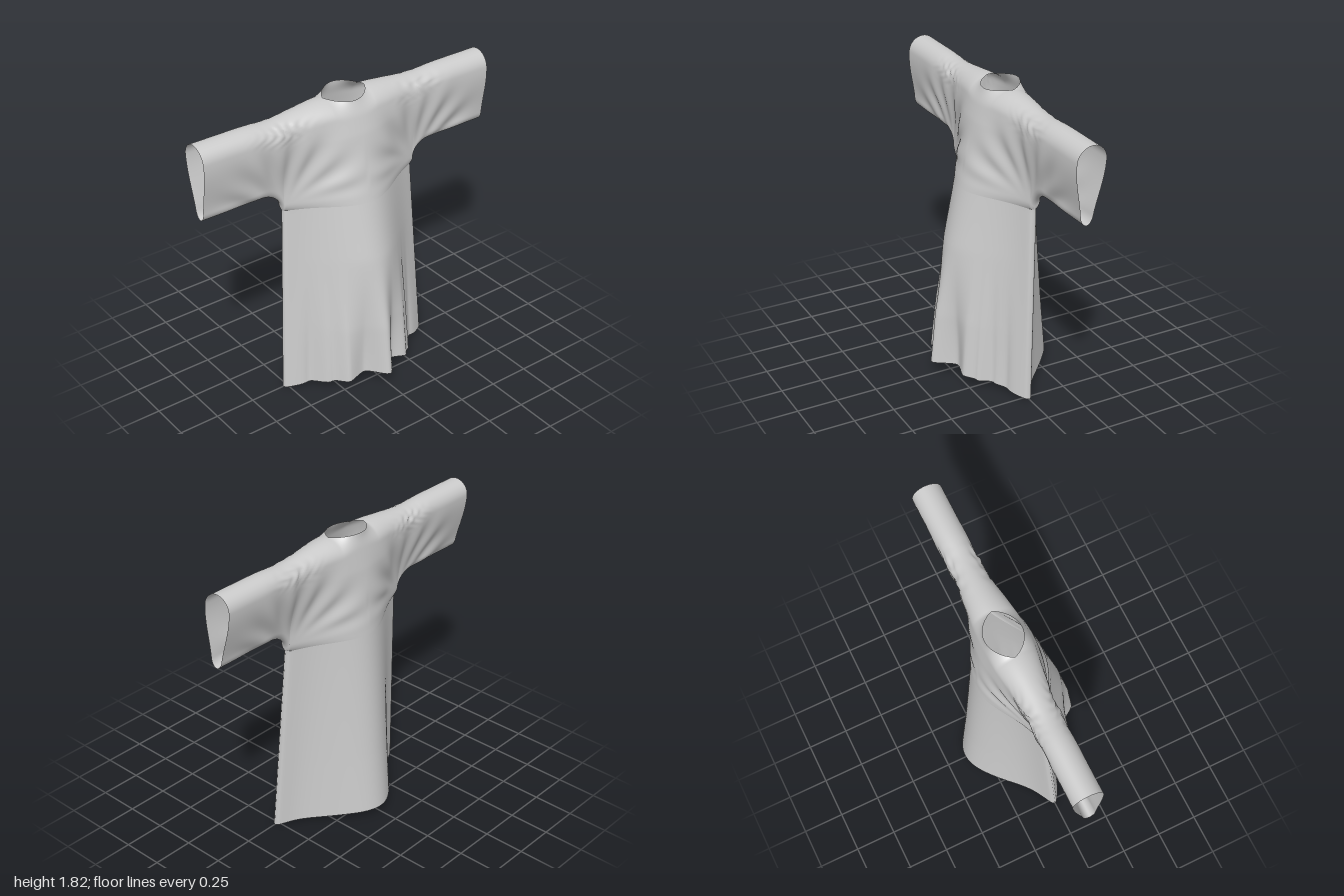
import * as THREE from 'three';
import { mergeGeometries, mergeVertices } from 'three/addons/utils/BufferGeometryUtils.js';

const { lerp, smoothstep, clamp } = THREE.MathUtils;
const ARM = 1.2;          // height where the underarm curve starts
const SIDE = 0.465;       // half width of the body at the underarm
const NECK = SIDE * 15 / 48;

// Interpolates a short list of [position, value] pairs
function table(points, p, ease = false) {
  if (p <= points[0][0]) return points[0][1];
  for (let i = 1; i < points.length; i++) {
    const [a, va] = points[i - 1], [b, vb] = points[i];
    if (p <= b) {
      const t = (p - a) / (b - a);
      return lerp(va, vb, ease ? t * t * (3 - 2 * t) : t);
    }
  }
  return points[points.length - 1][1];
}
// Quarter-round closing of an edge: 0 on the edge, 1 from distance r inward
const round = (d, r) => Math.sqrt(Math.max(0, 1 - (1 - clamp(d / r, 0, 1)) ** 2));

// Depth of the cloth along the centre line, front and back
const FRONT = [[0, 0.39], [0.4, 0.345], [0.85, 0.262], [1.2, 0.18], [1.6, 0.09], [1.8, 0.03]];
const BACK = [[0, -0.385], [0.4, -0.345], [0.8, -0.31], [1.2, -0.275], [1.6, -0.235], [1.82, -0.2]];
const MIDDLE = [[0, 0], [1.33, -0.06], [1.8, -0.09]];
// Hem folds across the front
const FOLDS = [[-0.53, 0], [-0.4, 0.1], [-0.3, 0.42], [-0.22, 0.68], [-0.12, 0.64], [0, 1],
  [0.11, 0.62], [0.2, 0.67], [0.27, 0.5], [0.32, 0.25], [0.4, 0.1], [0.53, 0]];

const halfWidth = y => lerp(0.53, SIDE, clamp(y / ARM, 0, 1));
const neckCurve = x => Math.max(0, 1 - (x / NECK) ** 2);

function topEdge(x, side) {
  const a = Math.abs(x);
  return 1.78 + 0.02 * (1 - smoothstep(a, 0.15, 0.45)) - 0.008 * Math.exp(-(((a - 0.52) / 0.1) ** 2))
    - side * 0.015 * neckCurve(x);
}
function bottomEdge(x) {
  const t = clamp((Math.abs(x) - SIDE) / 0.14, 0, 1);
  return 1.325 - 0.125 * (1 - Math.sqrt(1 - (1 - t) ** 2));
}
function hem(u, side) {
  return (side > 0 ? 0.087 : 0.04) * Math.cos(u * Math.PI / 2) ** 1.4;
}

// Folds that fan out from the underarm, and small crumples on the shoulder
function wrinkles(x, y, side) {
  const a = Math.abs(x), dx = a - 0.47, dy = y - 1.22;
  const r = Math.hypot(dx, dy), angle = Math.atan2(dx, dy);
  const fan = 0.007 * Math.sin(angle * 15 + side + Math.sign(x) * 0.6) * Math.exp(-(((r - 0.34) / 0.14) ** 2))
    * smoothstep(dy, 0, 0.15);
  const near = Math.exp(-(((a - 0.47) / 0.13) ** 2) - (((y - 1.74) / 0.07) ** 2));
  return fan + 0.007 * near * Math.sin(a * 75 + 3 * Math.sin(y * 45 + x * 12)) * Math.sin(y * 60 + a * 25);
}

// Depth of the cloth at any point of the outline; side is 1 for front, -1 for back
function depth(x, y, side) {
  const u = clamp(x / halfWidth(y), -1, 1);
  const middle = table(MIDDLE, y);
  const sleeve = y <= ARM ? 0
    : lerp(0.032, 0.09, smoothstep(y, 1.3, 1.68)) * round(y - bottomEdge(x), 0.05);
  const edge = 0.045 * Math.sqrt(Math.max(0, 1 - u ** 6));
  const base = Math.max(Math.hypot(sleeve, edge * (1 - smoothstep(y, 1.2, 1.7))), 0);
  const centre = side * (table(side > 0 ? FRONT : BACK, y) - middle);
  let bulge = Math.cos(u * Math.PI / 2) ** 2;
  if (side > 0) bulge = lerp(bulge, table(FOLDS, u * 0.53, true), 1 - smoothstep(y, 0.05, 0.9));
  else bulge += 0.03 * Math.sin(u * 13 + 1) * (1 - u * u) * u * u * (1 - smoothstep(y, 0, 1));
  let half = lerp(base, centre, bulge);
  if (y > ARM) half += wrinkles(x, y, side) * round(y - bottomEdge(x), 0.05);
  // Close over the shoulder, leaving the neck open
  const close = round(topEdge(x, side) - y, 0.09);
  const neck = 0.11 * neckCurve(x) ** 0.8;
  return middle + side * Math.sqrt((half * close) ** 2 + (1 - close * close) * neck * neck);
}

// Grid of cloth; place(s, t) gives [x, y], with x growing along s and y along t
function sheet(place, cols, rows, side) {
  const pos = [], index = [];
  for (let j = 0; j <= rows; j++) {
    for (let i = 0; i <= cols; i++) {
      const [x, y] = place(i / cols, j / rows);
      pos.push(x, y, depth(x, y, side));
    }
  }
  for (let j = 0; j < rows; j++) {
    for (let i = 0; i < cols; i++) {
      const a = j * (cols + 1) + i, b = a + 1, c = a + cols + 1, d = c + 1;
      if (side > 0) index.push(a, b, d, a, d, c);
      else index.push(a, d, b, a, c, d);
    }
  }
  const g = new THREE.BufferGeometry();
  g.setAttribute('position', new THREE.Float32BufferAttribute(pos, 3));
  g.setIndex(index);
  return g;
}

export function createModel() {
  const group = new THREE.Group();
  group.name = 'robe';
  const ease = t => (1 - Math.cos(t * Math.PI)) / 2;
  const parts = [];
  for (const side of [1, -1]) {
    // Skirt, from hem to underarm
    parts.push(sheet((s, t) => {
      const u = s * 2 - 1, y = lerp(hem(u, side), ARM, t);
      return [u * halfWidth(y), y];
    }, 96, 44, side));
    // Chest, from underarm to shoulder and neck
    parts.push(sheet((s, t) => {
      const x = (s * 2 - 1) * SIDE;
      return [x, lerp(ARM, topEdge(x, side), ease(t))];
    }, 96, 56, side));
    // Sleeves
    for (const arm of [1, -1]) {
      parts.push(sheet((s, t) => {
        const k = arm > 0 ? s : 1 - s;
        const x = arm * lerp(SIDE, 0.998, k ** 1.5);
        return [x, lerp(bottomEdge(x), topEdge(x, side), ease(t))];
      }, 44, 56, side));
    }
  }
  // Weld the sheets so the cloth is smooth across its seams
  const cloth = mergeVertices(mergeGeometries(parts), 1e-4);
  cloth.computeVertexNormals();
  const mesh = new THREE.Mesh(cloth, new THREE.MeshStandardMaterial({
    color: 0xcccccc, roughness: 0.9, side: THREE.DoubleSide }));
  mesh.name = 'gownCloth';
  group.add(mesh);
  return group;
}
